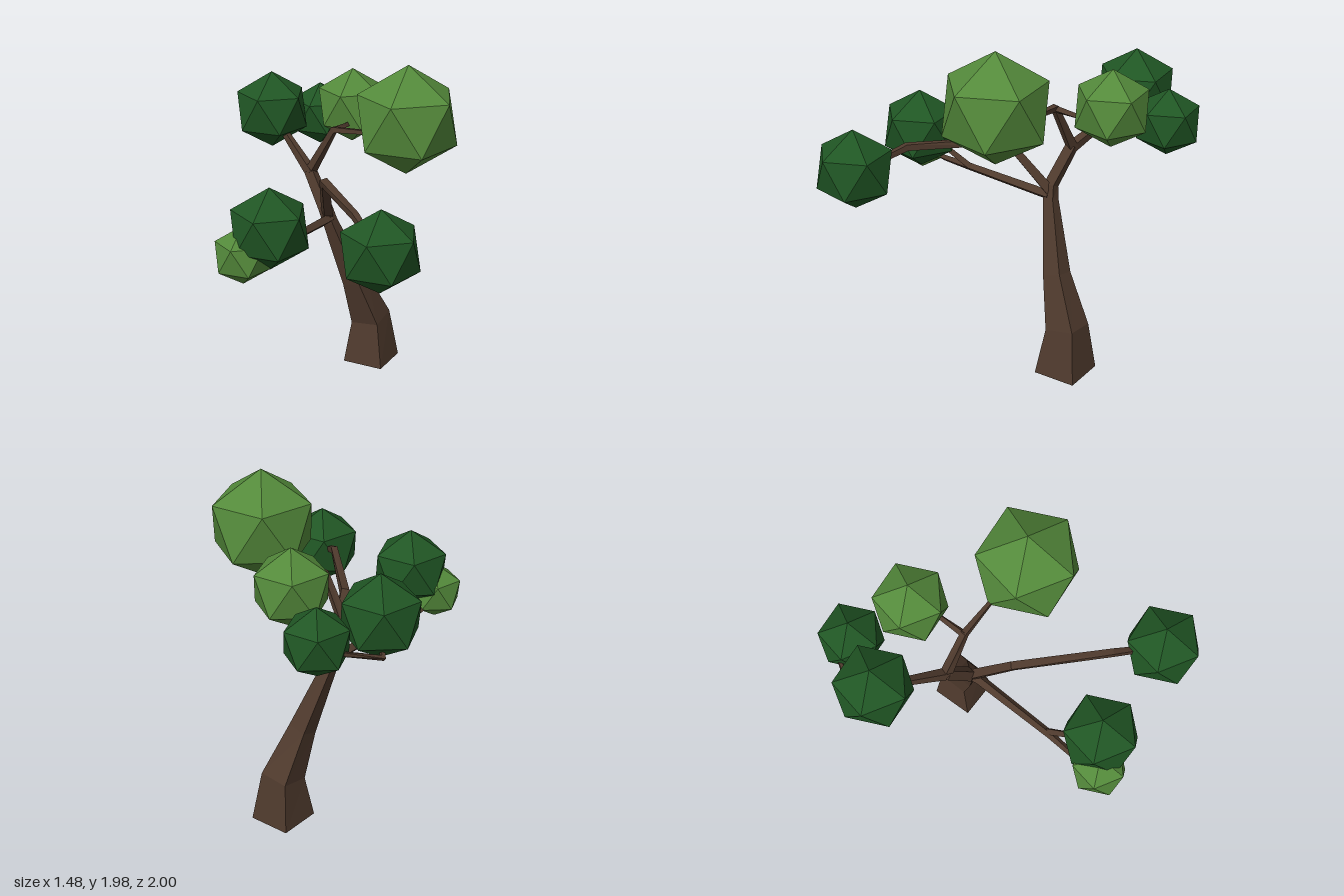
import * as THREE from 'three';

const mat = (name, color) => {
  const m = new THREE.MeshStandardMaterial({ color, flatShading: true });
  m.name = name;
  return m;
};

// Four-sided limb swept along points [x, y, z, radius]; ref orients the first corner
function limbGeometry(points, ref, startDir) {
  const P = points.map(p => new THREE.Vector3(p[0], p[1], p[2]));
  const pos = [], idx = [], n = P.length;
  P.forEach((p, i) => {
    const t = new THREE.Vector3();
    if (i > 0) t.add(p.clone().sub(P[i - 1]).normalize());
    if (i < n - 1) t.add(P[i + 1].clone().sub(p).normalize());
    if (i === 0 && startDir) t.copy(startDir);
    t.normalize();
    const u = ref.clone().addScaledVector(t, -ref.dot(t)).normalize();
    const v = t.clone().cross(u);
    for (let j = 0; j < 4; j++) {
      const a = j * Math.PI / 2, r = points[i][3];
      const q = p.clone().addScaledVector(u, r * Math.cos(a)).addScaledVector(v, r * Math.sin(a));
      pos.push(q.x, q.y, q.z);
    }
  });
  for (let i = 0; i < n - 1; i++) {
    for (let j = 0; j < 4; j++) {
      const a = i * 4 + j, b = i * 4 + (j + 1) % 4;
      idx.push(a, b, b + 4, a, b + 4, a + 4);
    }
  }
  const e = (n - 1) * 4;
  idx.push(0, 2, 1, 0, 3, 2, e, e + 1, e + 2, e, e + 2, e + 3); // end caps
  let g = new THREE.BufferGeometry();
  g.setAttribute('position', new THREE.Float32BufferAttribute(pos, 3));
  g.setIndex(idx);
  g = g.toNonIndexed();
  g.computeVertexNormals();
  return g;
}

// Icosahedron standing on one corner
function leafGeometry() {
  const v = [0, 1, 0], f = [], h = 1 / Math.sqrt(5), r = 2 * h;
  for (const [y, offset] of [[h, 0], [-h, 0.5]]) {
    for (let i = 0; i < 5; i++) {
      const a = (i + offset) * Math.PI * 0.4;
      v.push(r * Math.cos(a), y, r * Math.sin(a));
    }
  }
  v.push(0, -1, 0);
  for (let i = 0; i < 5; i++) {
    const k = (i + 1) % 5, u = 1 + i, un = 1 + k, l = 6 + i, ln = 6 + k;
    f.push(0, un, u, u, un, l, l, un, ln, 11, l, ln);
  }
  return new THREE.PolyhedronGeometry(v, f, 1, 0);
}

export function createModel() {
  const tree = new THREE.Group();
  tree.name = 'tree';
  const bark = mat('bark brown', 0x4f3a2d);
  const light = mat('light leaf green', 0x548a3b);
  const dark = mat('dark leaf green', 0x205624);

  const add = (name, geometry, material) => {
    const m = new THREE.Mesh(geometry, material);
    m.name = name;
    tree.add(m);
    return m;
  };

  // Leaning trunk, running up to the rear fork
  add('trunk', limbGeometry([
    [0.517, 0, -0.203, 0.178],
    [0.513, 0.278, -0.21, 0.124],
    [0.39, 0.56, -0.203, 0.079],
    [0.235, 0.95, -0.238, 0.045],
    [0.212, 1.03, -0.25, 0.044],
    [0.19, 1.235, -0.39, 0.04],
  ], new THREE.Vector3(0.968, 0, 0.25), new THREE.Vector3(0, 1, 0)), bark);

  // Branches and twigs
  const branches = {
    frontBranch: [[0.215, 1.0, -0.24, 0.038], [0.07, 1.285, -0.04, 0.032],
      [-0.075, 1.29, 0.5, 0.026], [-0.09, 1.245, 0.62, 0.022], [-0.1, 1.22, 0.7, 0.02]],
    sideBranch: [[0.225, 0.98, -0.235, 0.036], [0.17, 0.98, -0.2, 0.031],
      [-0.29, 0.997, 0.035, 0.024], [-0.46, 0.995, 0.11, 0.018], [-0.54, 1.01, 0.15, 0.016]],
    sideTwig: [[-0.27, 1.0, 0.03, 0.024], [-0.36, 1.085, 0.12, 0.021], [-0.43, 1.15, 0.2, 0.018]],
    upperBranch: [[0.19, 1.22, -0.395, 0.036], [0.26, 1.515, -0.24, 0.025],
      [0.36, 1.53, -0.06, 0.016], [0.41, 1.55, 0.05, 0.015]],
    upperTwig: [[0.255, 1.51, -0.24, 0.022], [0.4, 1.5, -0.32, 0.017], [0.46, 1.53, -0.4, 0.015]],
    rearBranch: [[0.19, 1.22, -0.375, 0.036], [0.185, 1.375, -0.64, 0.025], [0.18, 1.45, -0.78, 0.022]],
    rearTwig: [[0.18, 1.45, -0.79, 0.02], [0.205, 1.335, -0.92, 0.019], [0.45, 1.405, -0.91, 0.016]],
  };
  // Slightly skewed reference so no limb runs parallel to it
  const ref = new THREE.Vector3(0.7, 0.7, -0.35).normalize();
  for (const [name, path] of Object.entries(branches)) add(name, limbGeometry(path, ref), bark);

  // Leaf clusters: x, y, z, radius
  const leaf = leafGeometry();
  const clusters = [
    ['crownLeaves', light, 0.455, 1.66, 0.212, 0.316],
    ['rearLightLeaves', light, 0.52, 1.572, -0.447, 0.224],
    ['sideSmallLeaves', light, -0.594, 1.072, 0.198, 0.168],
    ['rearDarkLeaves', dark, 0.17, 1.51, -0.8, 0.235],
    ['rearSmallLeaves', dark, 0.516, 1.43, -0.805, 0.194],
    ['sideDarkLeaves', dark, -0.462, 1.215, 0.26, 0.235],
    ['frontLeaves', dark, -0.112, 1.197, 0.8, 0.235],
  ];
  for (const [name, material, x, y, z, r] of clusters) {
    const m = add(name, leaf, material);
    m.position.set(x, y, z);
    m.scale.setScalar(r);
  }
  return tree;
}
